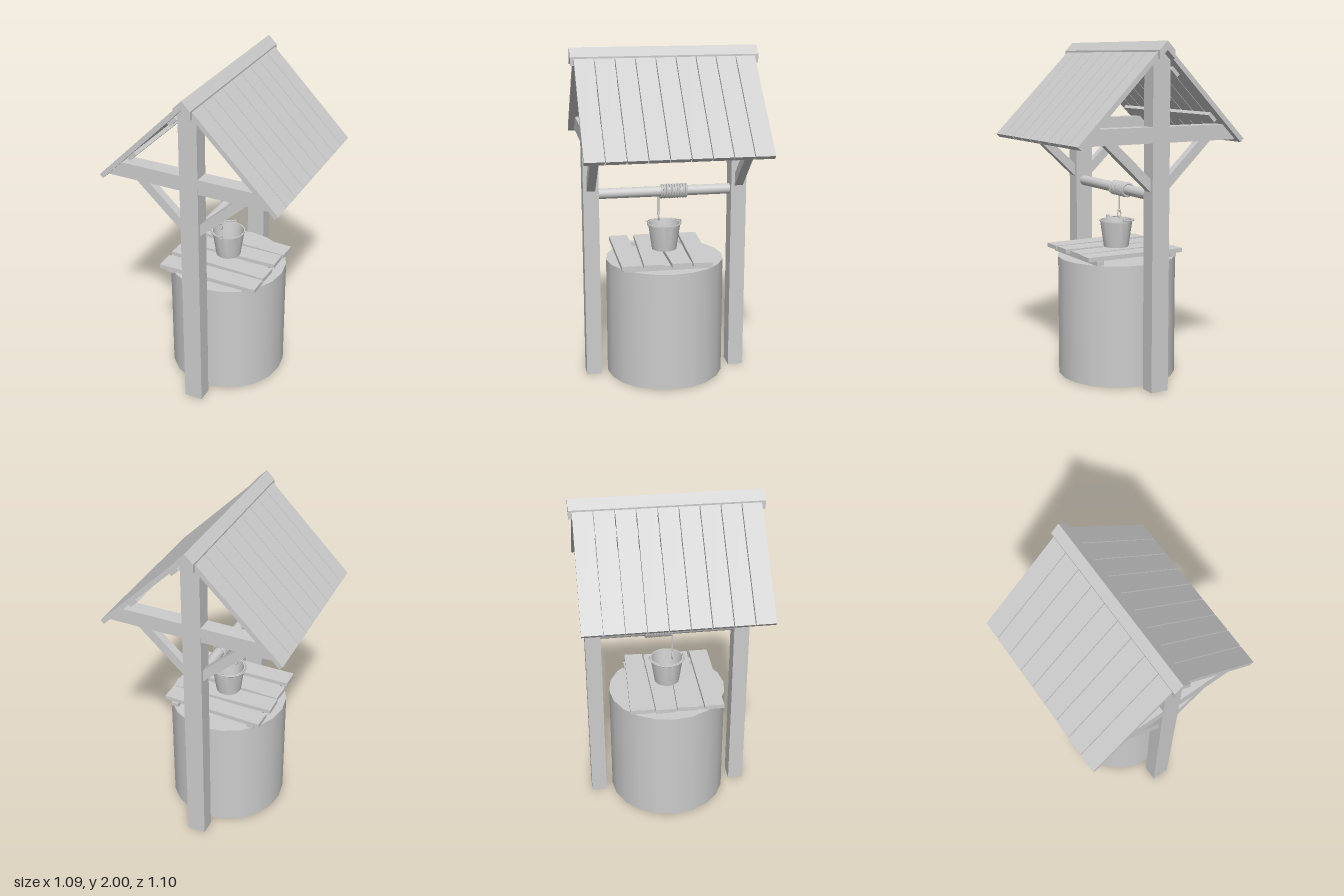
import * as THREE from 'three';
import { toCreasedNormals } from 'three/addons/utils/BufferGeometryUtils.js';

const grey = new THREE.MeshStandardMaterial({ color: 0xcccccc });
grey.name = 'plain grey';

export function createModel() {
  const model = new THREE.Group();
  model.name = 'well';

  const add = (name, geometry, x = 0, y = 0, z = 0) => {
    const mesh = new THREE.Mesh(geometry, grey);
    mesh.name = name;
    mesh.position.set(x, y, z);
    model.add(mesh);
    return mesh;
  };

  // Outline in x,y extruded along z about its centre; side = -1 mirrors it
  const slab = (points, depth, side = 1) => {
    const shape = new THREE.Shape(points.map(([x, y]) => new THREE.Vector2(x * side, y)));
    return new THREE.ExtrudeGeometry(shape, { depth, bevelEnabled: false }).translate(0, 0, -depth / 2);
  };

  // Well body
  add('wellBody', new THREE.CylinderGeometry(0.358, 0.358, 0.725, 20), 0, 0.3625, 0);

  // Lid: battens carrying four loosely laid boards
  for (const x of [-0.25, 0.25]) add('lidBatten', new THREE.BoxGeometry(0.045, 0.025, 0.53), x, 0.738, 0.02);
  const boards = [[0.245, 0.115, 0, 0], [0.097, 0.122, -0.045, 0], [-0.05, 0.118, 0.01, -0.005], [-0.188, 0.113, -0.04, 0.005]];
  for (const [z, width, turn, x] of boards) {
    add('lidBoard', new THREE.BoxGeometry(0.63, 0.025, width), x, 0.763, z).rotation.y = turn;
  }

  // Frames at the front and back
  for (const z of [0.447, -0.447]) {
    add('post', slab([[-0.056, 0], [0.056, 0], [0.056, 1.894], [0, 1.95], [-0.056, 1.894]], 0.093), 0, 0, z);
    add('crossBeam', slab([[-0.51, 1.44], [0.51, 1.44], [0.42, 1.53], [-0.42, 1.53]], 0.089), 0, 0, z);
    for (const side of [-1, 1]) {
      add('brace', slab([[0.055, 1.165], [0.35, 1.44], [0.27, 1.44], [0.055, 1.24]], 0.05, side), 0, 0, z);
    }
  }

  // Roof planks, purlins and ridge cap
  for (const side of [-1, 1]) {
    for (let i = -4; i <= 4; i++) {
      add('roofPlank', slab([[0, 1.99], [0.545, 1.445], [0.525, 1.425], [0, 1.95]], 0.113, side), 0, 0, i * 0.118);
    }
    for (const x of [0.105, 0.365]) {
      const purlin = add('purlin', new THREE.BoxGeometry(0.062, 0.025, 0.94), side * x, 1.936 - x, 0);
      purlin.rotation.z = -side * Math.PI / 4;
    }
  }
  add('ridgeCap', slab([[0, 2], [0.05, 1.95], [0.05, 1.9], [0, 1.95], [-0.05, 1.9], [-0.05, 1.95]], 1.1));

  // Windlass with wound rope
  add('windlass', new THREE.CylinderGeometry(0.031, 0.031, 0.83, 20).rotateX(Math.PI / 2), 0, 1.135, 0);
  const turns = 10;
  const coil = [];
  for (let i = 0; i <= turns * 12; i++) {
    const a = Math.PI + (i / 12) * Math.PI * 2;
    coil.push(new THREE.Vector3(Math.cos(a) * 0.037, 1.135 + Math.sin(a) * 0.037, 0.025 - 0.165 * i / (turns * 12)));
  }
  add('ropeCoil', new THREE.TubeGeometry(new THREE.CatmullRomCurve3(coil), 200, 0.008, 6));

  // Hanging rope ending in a knotted loop
  add('hangingRope', new THREE.CylinderGeometry(0.005, 0.005, 0.15, 8), -0.037, 1.06, 0.028);
  add('ropeLoop', new THREE.TorusGeometry(0.016, 0.005, 6, 14).scale(0.7, 1.2, 1), -0.037, 0.968, 0.028);
  add('ropeKnot', new THREE.SphereGeometry(0.009, 10, 8), -0.037, 0.99, 0.028);

  // Open bucket
  const profile = [[0, 0], [0.075, 0], [0.098, 0.155], [0.102, 0.155], [0.102, 0.162], [0.095, 0.162], [0.07, 0.008], [0, 0.008]]
    .map(([r, y]) => new THREE.Vector2(r, y));
  add('bucket', toCreasedNormals(new THREE.LatheGeometry(profile, 24), 0.6), 0, 0.776, 0);

  // Ears and the handle dropped to one side
  for (const z of [-0.102, 0.102]) add('bucketEar', new THREE.BoxGeometry(0.02, 0.03, 0.006), 0, 0.94, z);
  const handle = new THREE.TorusGeometry(0.108, 0.004, 6, 24, Math.PI);
  handle.rotateY(Math.PI / 2).rotateZ(Math.PI / 2);
  add('bucketHandle', handle, 0, 0.944, 0).rotation.z = 0.08;

  return model;
}
